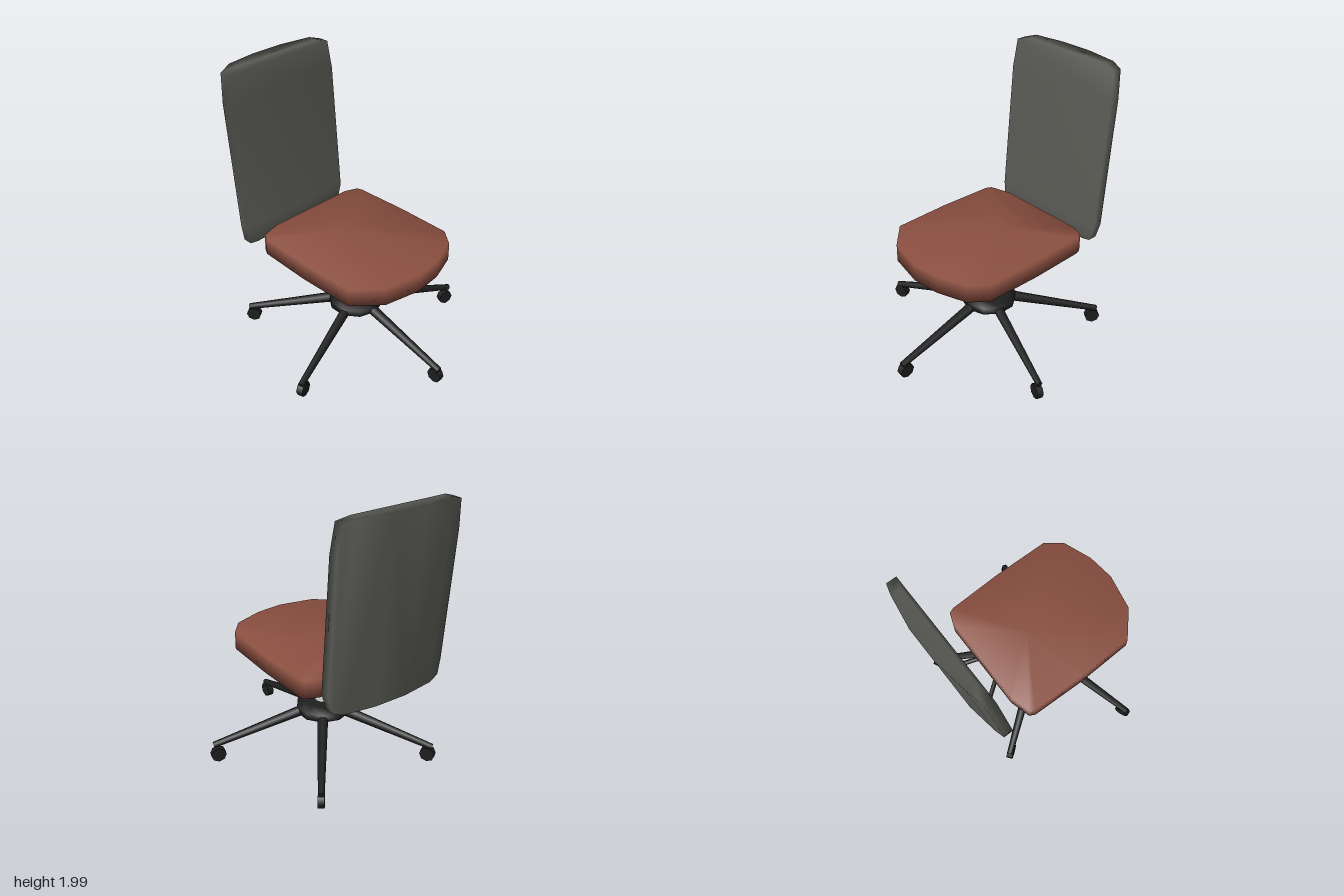
import * as THREE from 'three';
import { mergeVertices } from 'three/addons/utils/BufferGeometryUtils.js';
import { ConvexGeometry } from 'three/addons/geometries/ConvexGeometry.js';

const paint = (name, color) => {
  const m = new THREE.MeshStandardMaterial({ color });
  m.name = name;
  return m;
};

// Share vertices so that shading runs smoothly over the edges
function smooth(geometry) {
  geometry.deleteAttribute('normal');
  const g = mergeVertices(geometry, 1e-4);
  g.computeVertexNormals();
  return g;
}

// Cushion: an outline (x, z) extruded upright, capped with fans
function cushion(outline, y0, y1, cx, cz) {
  const n = outline.length, pos = [], idx = [];
  for (const y of [y0, y1]) for (const [x, z] of outline) pos.push(x, y, z);
  pos.push(cx, y0, cz, cx, y1, cz);
  for (let i = 0; i < n; i++) {
    const k = (i + 1) % n;
    idx.push(i, n + i, n + k, i, n + k, k);
    idx.push(2 * n, i, k, 2 * n + 1, n + k, n + i);
  }
  const g = new THREE.BufferGeometry();
  g.setAttribute('position', new THREE.Float32BufferAttribute(pos, 3));
  g.setIndex(idx);
  g.computeVertexNormals();
  return g;
}

// Tapered round bar from a to b
function bar(a, b, ra, rb, material) {
  const p = new THREE.Vector3(...a), q = new THREE.Vector3(...b);
  const dir = q.clone().sub(p);
  const m = new THREE.Mesh(new THREE.CylinderGeometry(rb, ra, dir.length(), 8), material);
  m.position.copy(p).add(q).multiplyScalar(0.5);
  m.quaternion.setFromUnitVectors(new THREE.Vector3(0, 1, 0), dir.normalize());
  return m;
}

export function createModel() {
  const group = new THREE.Group();
  const leather = paint('brown leather', 0x8a4f40);
  const fabric = paint('grey fabric', 0x5a5b55);
  const black = paint('black plastic', 0x1e1e1e);
  const metal = paint('light metal', 0xd8d8d8);
  const add = (name, object, parent = group) => {
    object.name = name;
    parent.add(object);
    return object;
  };

  // Seat
  const seatOutline = [
    [-0.47, -0.40], [-0.45, -0.44], [-0.30, -0.48], [0.36, -0.475], [0.45, -0.44],
    [0.465, -0.40], [0.475, 0], [0.465, 0.41], [0.37, 0.53], [0.16, 0.605],
    [-0.04, 0.625], [-0.30, 0.57], [-0.475, 0.41], [-0.485, 0],
  ];
  add('seat', new THREE.Mesh(cushion(seatOutline, 0.74, 0.87, 0, -0.1), leather));

  // Backrest: a leaning, rearward-bowed panel
  const backOutline = [
    [-0.46, 1.97], [-0.37, 2.0], [-0.14, 2.0], [0.10, 2.0], [0.33, 2.0], [0.415, 1.975],
    [0.435, 1.78], [0.435, 0.85], [0.40, 0.73], [0.33, 0.705], [0.10, 0.705],
    [-0.14, 0.705], [-0.38, 0.705], [-0.46, 0.73], [-0.475, 0.85], [-0.48, 1.77],
  ];
  const backPoints = [];
  for (const [x, y] of backOutline) {
    const u = (x + 0.02) / 0.455;
    const z = -0.59 - 0.105 * (y - 0.72) / 1.27 - 0.065 * (1 - Math.min(1, u * u));
    backPoints.push(new THREE.Vector3(x, y, z), new THREE.Vector3(x, y, z - 0.07));
  }
  add('backrest', new THREE.Mesh(smooth(new ConvexGeometry(backPoints)), fabric));

  // Struts joining seat and backrest
  add('rightStrut', bar([-0.04, 0.75, -0.38], [-0.215, 0.69, -0.63], 0.016, 0.016, black));
  add('leftStrut', bar([0.06, 0.75, -0.38], [0.17, 0.69, -0.63], 0.016, 0.016, black));

  // Column
  const column = add('column', new THREE.Mesh(new THREE.CylinderGeometry(0.06, 0.06, 0.42, 24), metal));
  column.position.y = 0.54;

  // Hub
  const hubProfile = [[0, 0.28], [0.14, 0.28], [0.195, 0.295], [0.195, 0.345], [0.14, 0.38], [0, 0.38]]
    .map(([r, y]) => new THREE.Vector2(r, y));
  add('hub', new THREE.Mesh(new THREE.LatheGeometry(hubProfile, 10), black));

  // Five legs with casters
  const casterHeight = [0.085, 0.06, 0.08, 0.08, 0.09];
  for (let i = 0; i < 5; i++) {
    const leg = add('legAssembly', new THREE.Group());
    leg.rotation.y = i * Math.PI * 2 / 5;
    add('leg', bar([0, 0.32, 0.12], [0, 0.137, 0.805], 0.038, 0.022, black), leg);
    const caster = add('caster', new THREE.Mesh(new THREE.CylinderGeometry(0.054, 0.054, 0.045, 8), black), leg);
    caster.rotation.z = Math.PI / 2;
    caster.position.set(0, casterHeight[i], 0.775);
  }
  return group;
}
